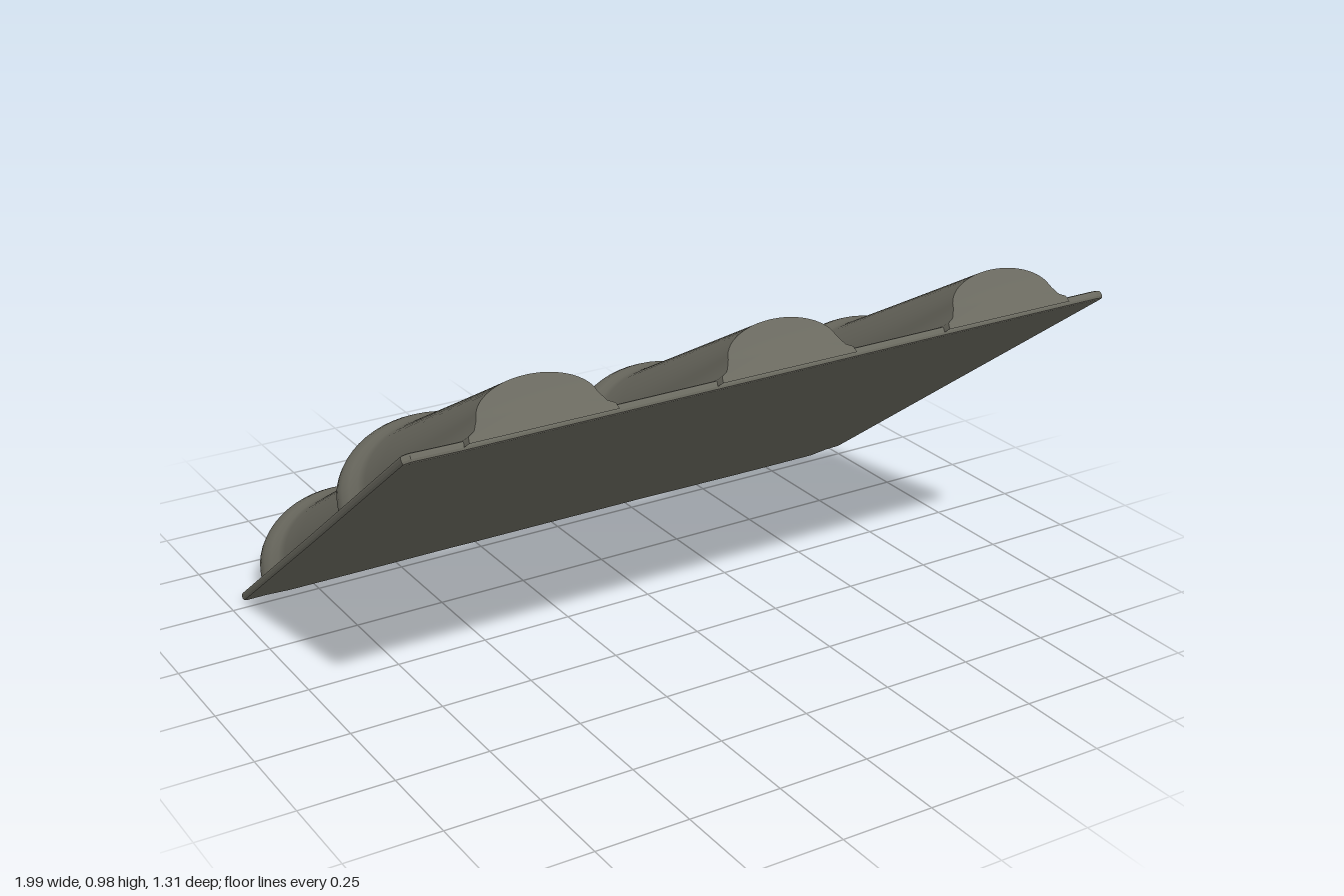
import * as THREE from 'three';

const clay = new THREE.MeshStandardMaterial({ color: 0x6a695f });
clay.name = 'grey clay';

const STEPS = 28;

// Arched cross-section with a flared foot, from +x over the crest to -x
function section(w, h, flare) {
  const foot = [[w + flare, 0.008], [w + flare * 0.9, 0.024], [w + flare * 0.4, 0.034], [w + flare * 0.1, 0.052]];
  const pts = foot.map(([x, y]) => [x, y]);
  for (let i = 1; i < STEPS; i++) {
    const t = (i / STEPS) * Math.PI;
    pts.push([w * Math.cos(t), 0.052 + (h - 0.052) * Math.sin(t)]);
  }
  for (const [x, y] of foot.slice().reverse()) pts.push([-x, y]);
  return pts;
}

// Surface from an array of equally long rows of points
function skin(rows) {
  const n = rows[0].length, index = [];
  for (let i = 0; i < rows.length - 1; i++) {
    for (let j = 0; j < n - 1; j++) {
      const a = i * n + j, b = a + 1, c = a + n, d = c + 1;
      index.push(a, b, c, b, d, c);
    }
  }
  const geo = new THREE.BufferGeometry();
  geo.setAttribute('position', new THREE.Float32BufferAttribute(rows.flat(2), 3));
  geo.setIndex(index);
  geo.computeVertexNormals();
  return geo;
}

// Flat or dished end face
function cap(ring, dish, back) {
  const z = ring.reduce((s, p) => s + p[2], 0) / ring.length;
  const pos = [[0, 0.07, z + dish], ...ring], index = [];
  for (let j = 1; j <= ring.length; j++) {
    const k = j === ring.length ? 1 : j + 1;
    index.push(0, ...(back ? [k, j] : [j, k]));
  }
  const geo = new THREE.BufferGeometry();
  geo.setAttribute('position', new THREE.Float32BufferAttribute(pos.flat(), 3));
  geo.setIndex(index);
  geo.computeVertexNormals();
  return geo;
}

// Tapered barrel tile: rolled lip at the wide end, narrowing to the far end
function tile(name, start, end, endWidth, endHeight, leanStart, leanEnd) {
  const profile = [ // distance, half width, height, flare
    [0.030, 0.215, 0.200, 0.020], [0.016, 0.232, 0.216, 0.015],
    [0.014, 0.247, 0.230, 0.012], [0.022, 0.254, 0.238, 0.012],
    [0.040, 0.256, 0.242, 0.012], [0.060, 0.252, 0.238, 0.014],
    [0.080, 0.240, 0.228, 0.018], [0.100, 0.224, 0.217, 0.026],
    [0.125, 0.213, 0.211, 0.036],
  ];
  const [d0, w0, h0] = profile[profile.length - 1];
  const length = end - start;
  for (let i = 1; i <= 6; i++) {
    const k = i / 6;
    profile.push([
      THREE.MathUtils.lerp(d0, length, k), THREE.MathUtils.lerp(w0, endWidth, k),
      THREE.MathUtils.lerp(h0, endHeight, k), 0.036,
    ]);
  }
  const rows = profile.map(([d, w, h, flare]) => {
    const lean = THREE.MathUtils.lerp(leanStart, leanEnd, d / length);
    return section(w, h, flare).map(([x, y]) => [x, y, start + d + lean * y]);
  });
  const group = new THREE.Group();
  group.name = name;
  const add = (geo, part) => {
    const mesh = new THREE.Mesh(geo, clay);
    mesh.name = part;
    group.add(mesh);
  };
  add(skin(rows), 'barrel');
  add(cap(rows[0], 0.012, true), 'wideEnd');
  add(cap(rows[rows.length - 1], 0, false), 'narrowEnd');
  return group;
}

// Thin backing sheet with a slightly uneven outline
function sheet() {
  const outline = [
    [-0.96, 0.02], [-0.9, 0.024], [-0.82, 0.005], [-0.6, 0.008], [-0.36, 0.015], [-0.25, 0.012],
    [0.28, 0.018], [0.42, 0.012], [0.7, 0.004], [0.92, 0.008], [0.95, 0.05], [0.995, 0.065],
    [0.985, 0.7], [0.975, 1.47], [0.95, 1.48], [0.5, 1.475], [0, 1.463],
    [-0.45, 1.455], [-0.86, 1.445], [-0.98, 1.452], [-0.998, 1.44], [-0.975, 0.7],
  ].map(([x, z]) => new THREE.Vector2(x, z));
  const geo = new THREE.ExtrudeGeometry(new THREE.Shape(outline), {
    depth: 0.008, bevelThickness: 0.008, bevelSize: 0.008, bevelOffset: -0.008, bevelSegments: 2,
  });
  geo.rotateX(Math.PI / 2);
  geo.translate(0, 0.016, 0);
  const mesh = new THREE.Mesh(geo, clay);
  mesh.name = 'backingSheet';
  return mesh;
}

export function createModel() {
  const roof = new THREE.Group();
  roof.name = 'roofSlope';
  roof.add(sheet());

  // Three columns, each with an upper tile overlapping a lower one
  ['right', 'middle', 'left'].forEach((side, i) => {
    const k = i - 1;
    const lower = tile(side + 'LowerTile', -0.005, 0.8, 0.16, 0.163, 0.1, 0);
    lower.position.x = 0.015 + k * 0.653;
    const upper = tile(side + 'UpperTile', 0.742, 1.485 + k * 0.012, 0.155, 0.135, 0.02, -0.12);
    upper.position.x = k * 0.655;
    roof.add(lower, upper);
  });

  // Pitch the slope so it rises toward the front
  roof.rotation.x = -0.638;
  roof.position.set(0, 0, -0.54);

  const model = new THREE.Group();
  model.name = 'roofTiles';
  model.add(roof);
  return model;
}
